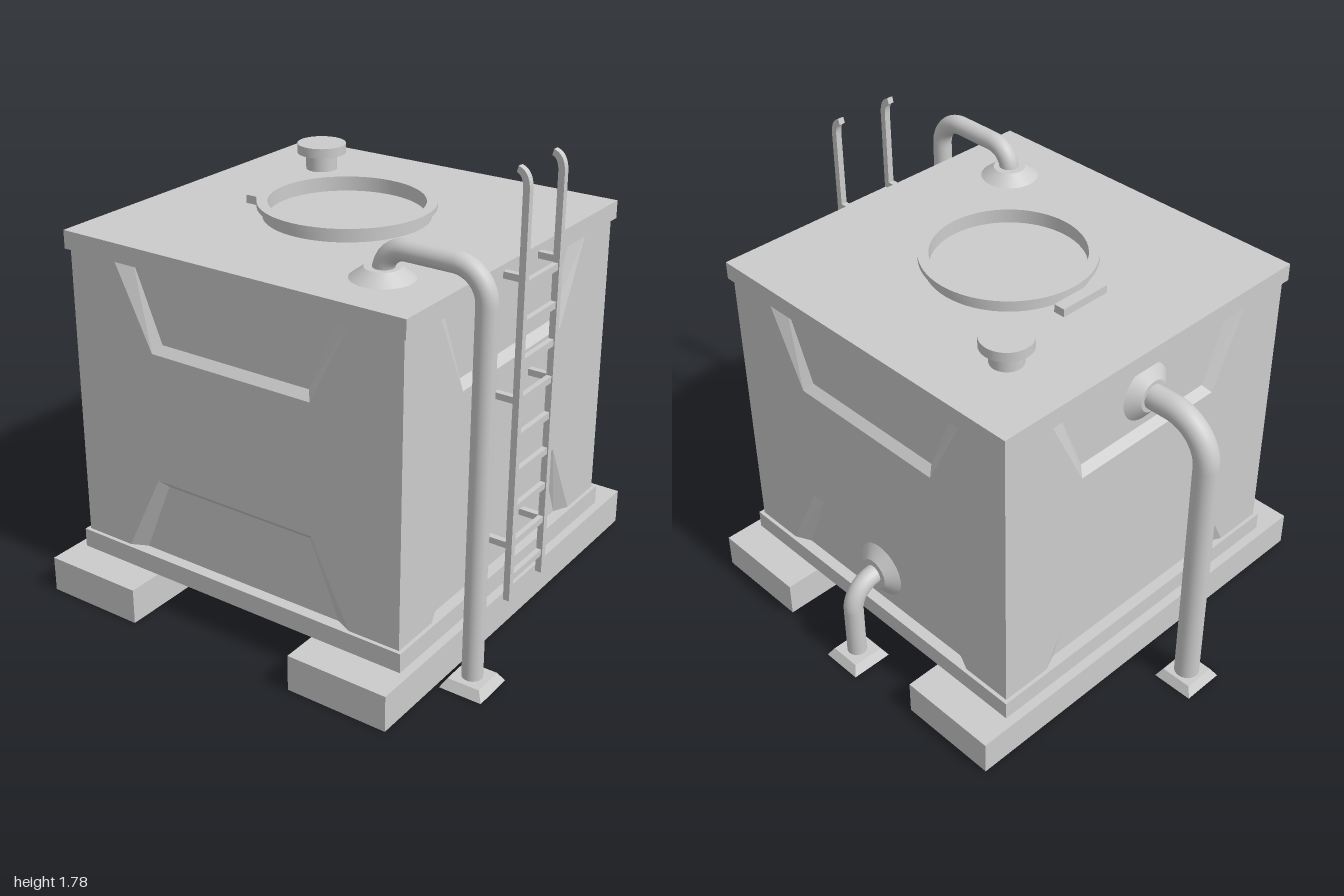
import * as THREE from 'three';

const CX = -0.025, CZ = 0.057;      // tank centre
const HALF = 0.711, DEPTH = 0.03;   // tank half width, recess depth
const Y0 = 0.215, Y1 = 1.36;        // wall bottom and top

const material = new THREE.MeshStandardMaterial({ color: 0xcccccc });
const thin = new THREE.MeshStandardMaterial({ color: 0xcccccc, side: THREE.DoubleSide });

function add(parent, name, geometry, x = 0, y = 0, z = 0, mat = material) {
  const mesh = new THREE.Mesh(geometry, mat);
  mesh.name = name;
  mesh.position.set(x, y, z);
  parent.add(mesh);
  return mesh;
}

// Box given by its min and max on each axis
function box(parent, name, x0, x1, y0, y1, z0, z1) {
  return add(parent, name, new THREE.BoxGeometry(x1 - x0, y1 - y0, z1 - z0),
    (x0 + x1) / 2, (y0 + y1) / 2, (z0 + z1) / 2);
}

// Pipe along a polyline whose inner corners are rounded by the given radii
function pipe(parent, name, points, bends, radius) {
  const pts = points.map(p => new THREE.Vector3(...p));
  const path = new THREE.CurvePath();
  let from = pts[0];
  for (let i = 1; i < pts.length - 1; i++) {
    const r = bends[i - 1], c = pts[i];
    const toPrev = pts[i - 1].clone().sub(c).normalize();
    const toNext = pts[i + 1].clone().sub(c).normalize();
    const at = (dir, d) => c.clone().addScaledVector(dir, d);
    path.add(new THREE.LineCurve3(from, at(toPrev, r)));
    path.add(new THREE.CubicBezierCurve3(at(toPrev, r), at(toPrev, r * 0.448),
      at(toNext, r * 0.448), at(toNext, r)));
    from = at(toNext, r);
  }
  path.add(new THREE.LineCurve3(from, pts[pts.length - 1]));
  return add(parent, name, new THREE.TubeGeometry(path, 100, radius, 24), 0, 0, 0, thin);
}

// Conical collar standing on a surface, pointing along dir
function flange(parent, name, pos, dir) {
  const geo = new THREE.CylinderGeometry(0.063, 0.113, 0.038, 40);
  geo.translate(0, 0.019, 0);
  const mesh = add(parent, name, geo, ...pos);
  mesh.quaternion.setFromUnitVectors(new THREE.Vector3(0, 1, 0), new THREE.Vector3(...dir));
}

// Square tapered foot under a pipe
function foot(parent, name, x, z) {
  const geo = new THREE.CylinderGeometry(0.063 * Math.SQRT2, 0.084 * Math.SQRT2, 0.035, 4).toNonIndexed();
  geo.rotateY(Math.PI / 4);
  geo.computeVertexNormals();
  add(parent, name, geo, x, 0.0175, z);
}

// One wall with a bevelled trapezoid recess at the bottom and at the top
function wall(name) {
  const group = new THREE.Group();
  group.name = name;
  const mid = (Y0 + Y1) / 2, h = (Y1 - Y0) / 2;
  const outer = [[-0.503, -h], [-0.345, -0.2525], [0.345, -0.2525], [0.503, -h]];
  const inner = [[-0.44, -h], [-0.32, -0.2825], [0.32, -0.2825], [0.44, -h]];
  const turn = pts => pts.map(([x, y]) => [-x, -y]);
  const outline = [[-HALF, -h], ...outer, [HALF, -h], [HALF, h], ...turn(outer), [-HALF, h]];
  const shape = new THREE.Shape(outline.map(p => new THREE.Vector2(...p)));
  add(group, 'wallPanel', new THREE.ShapeGeometry(shape), 0, mid, HALF);

  const pos = [];
  for (const [o, n] of [[outer, inner], [turn(outer), turn(inner)]]) {
    for (let i = 0; i < 3; i++) {
      const a = [...o[i], 0], b = [...o[i + 1], 0];
      const c = [...n[i], -DEPTH], d = [...n[i + 1], -DEPTH];
      pos.push(...a, ...c, ...d, ...a, ...d, ...b);
    }
  }
  const bevel = new THREE.BufferGeometry();
  bevel.setAttribute('position', new THREE.Float32BufferAttribute(pos, 3));
  bevel.computeVertexNormals();
  add(group, 'recessBevels', bevel, 0, mid, HALF);
  return group;
}

export function createModel() {
  const model = new THREE.Group();
  model.name = 'storageTank';

  // Base beams
  box(model, 'frontBeam', -0.89, 0.842, 0, 0.14, 0.412, 0.817);
  box(model, 'backBeam', -0.89, 0.842, 0, 0.14, -0.707, -0.302);

  // Tank body: rims, core (the recess floors) and four walls
  const tank = new THREE.Group();
  tank.name = 'tank';
  tank.position.set(CX, 0, CZ);
  model.add(tank);
  box(tank, 'bottomRim', -0.726, 0.726, 0.14, Y0, -0.726, 0.726);
  box(tank, 'topRim', -0.726, 0.726, Y1, 1.43, -0.726, 0.726);
  const core = HALF - DEPTH;
  box(tank, 'tankCore', -core, core, Y0, Y1, -core, core);
  ['frontWall', 'leftWall', 'backWall', 'rightWall'].forEach((name, i) => {
    const side = wall(name);
    side.rotation.y = i * Math.PI / 2;
    tank.add(side);
  });

  // Hatch ring with its hinge
  const ring = [[0.29, 1.43], [0.29, 1.486], [0.33, 1.486], [0.33, 1.466], [0.31, 1.466], [0.31, 1.43]];
  for (let i = 0; i < ring.length - 1; i++) {
    const pair = [ring[i], ring[i + 1]].map(p => new THREE.Vector2(...p));
    add(model, 'hatchRing', new THREE.LatheGeometry(pair, 64), CX, 0, 0.052, thin);
  }
  box(model, 'hatchHinge', -0.135, 0.083, 1.432, 1.464, -0.33, -0.283);

  // Vent
  add(model, 'ventStem', new THREE.CylinderGeometry(0.062, 0.062, 0.07, 32), 0.402, 1.463, -0.373);
  add(model, 'ventCap', new THREE.CylinderGeometry(0.097, 0.097, 0.038, 40), 0.402, 1.515, -0.373);

  // Ladder
  const ladder = new THREE.Group();
  ladder.name = 'ladder';
  model.add(ladder);
  const rail = new THREE.Shape();
  rail.moveTo(0.842, 0.145);
  rail.lineTo(0.867, 0.145);
  rail.lineTo(0.867, 1.705);
  rail.quadraticCurveTo(0.865, 1.765, 0.822, 1.778);
  rail.lineTo(0.816, 1.756);
  rail.quadraticCurveTo(0.842, 1.748, 0.842, 1.70);
  const railGeo = new THREE.ExtrudeGeometry(rail, { depth: 0.025, bevelEnabled: false, curveSegments: 8 });
  railGeo.translate(0, 0, -0.0125);
  railGeo.rotateY(-Math.PI / 2);
  for (const x of [-0.145, 0.097]) {
    add(ladder, 'ladderRail', railGeo, x);
    for (const y of [0.372, 0.945, 1.393]) {
      box(ladder, 'ladderBracket', x - 0.0125, x + 0.0125, y - 0.0125, y + 0.0125, 0.76, 0.845);
    }
  }
  for (let i = 0; i < 9; i++) {
    const y = 0.23 + i * 0.142;
    box(ladder, 'ladderRung', -0.134, 0.086, y - 0.013, y + 0.013, 0.842, 0.862);
  }

  // Front pipe, rising over the rim and down into the top
  pipe(model, 'frontPipe', [[-0.49, 0.02, 0.915], [-0.49, 1.542, 0.915], [-0.49, 1.542, 0.522],
    [-0.49, 1.43, 0.522]], [0.12, 0.09], 0.038);
  flange(model, 'frontPipeFlange', [-0.49, 1.43, 0.52], [0, 1, 0]);
  foot(model, 'frontPipeFoot', -0.49, 0.916);

  // Side pipe, low on the left wall
  pipe(model, 'sidePipe', [[0.655, 0.36, 0.055], [0.802, 0.36, 0.055], [0.802, 0.02, 0.055]], [0.11], 0.038);
  flange(model, 'sidePipeFlange', [CX + core, 0.36, 0.055], [1, 0, 0]);
  foot(model, 'sidePipeFoot', 0.802, 0.052);

  // Back pipe, high on the back wall
  pipe(model, 'backPipe', [[CX, 1.212, -0.62], [CX, 1.212, -0.915], [CX, 0.02, -0.915]], [0.17], 0.048);
  flange(model, 'backPipeFlange', [CX, 1.212, CZ - core], [0, 0, -1]);
  foot(model, 'backPipeFoot', CX, -0.916);

  return model;
}
